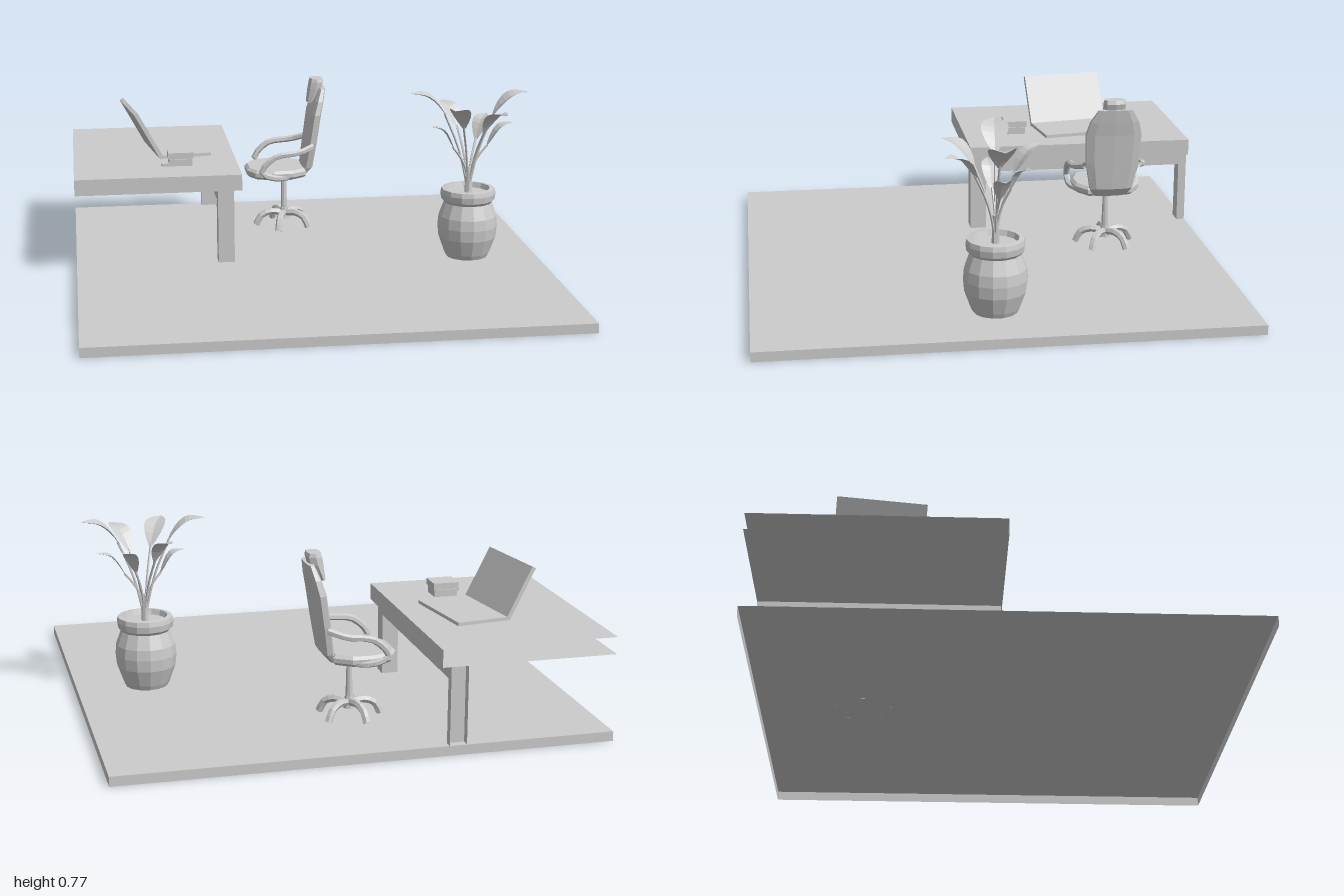
import * as THREE from 'three';

const mat = new THREE.MeshStandardMaterial({ color: 0xcccccc, flatShading: true, side: THREE.DoubleSide });
const V = (x, y, z) => new THREE.Vector3(x, y, z);

function add(parent, name, geometry) {
  const mesh = new THREE.Mesh(geometry, mat);
  mesh.name = name;
  parent.add(mesh);
  return mesh;
}

function group(parent, name, x = 0, y = 0, z = 0) {
  const g = new THREE.Group();
  g.name = name;
  g.position.set(x, y, z);
  parent.add(g);
  return g;
}

// Box between two corners; sides listed in `open` are left out (0 +x, 1 -x, 2 +y, 3 -y, 4 +z, 5 -z)
function box(parent, name, [x0, x1], [y0, y1], [z0, z1], open = []) {
  const g = new THREE.BoxGeometry(x1 - x0, y1 - y0, z1 - z0);
  g.translate((x0 + x1) / 2, (y0 + y1) / 2, (z0 + z1) / 2);
  const index = Array.from(g.index.array);
  g.setIndex(index.filter((_, i) => !open.includes(Math.floor(i / 6))));
  return add(parent, name, g);
}

function tube(parent, name, points, radius, sides = 6, steps = 8) {
  return add(parent, name, new THREE.TubeGeometry(new THREE.CatmullRomCurve3(points), steps, radius, sides));
}

// Closed loft through rounded cross-sections: rows of [y, centre x, half depth, half width]
function loft(rows, n = 10) {
  const pos = [], idx = [];
  const soft = v => Math.sign(v) * Math.abs(v) ** 0.7;
  for (const [y, cx, d, w] of rows)
    for (let j = 0; j < n; j++) {
      const a = (j / n) * Math.PI * 2;
      pos.push(cx + d * soft(Math.cos(a)), y, w * soft(Math.sin(a)));
    }
  for (let i = 0; i < rows.length - 1; i++)
    for (let j = 0; j < n; j++) {
      const a = i * n + j, b = i * n + (j + 1) % n;
      idx.push(a, a + n, b, b, a + n, b + n);
    }
  const top = (rows.length - 1) * n;
  for (let j = 1; j < n - 1; j++) idx.push(0, j, j + 1, top, top + j + 1, top + j);
  const g = new THREE.BufferGeometry();
  g.setAttribute('position', new THREE.Float32BufferAttribute(pos, 3));
  g.setIndex(idx);
  g.computeVertexNormals();
  return g;
}

// Folded leaf along the outer part of a curve
function leafGeometry(curve, start, halfWidth, side) {
  const pos = [], idx = [], n = 8;
  for (let i = 0; i <= n; i++) {
    const t = i / n, p = curve.getPoint(start + (1 - start) * t);
    const w = halfWidth * Math.sin(Math.PI * (0.03 + 0.97 * t) ** 0.9);
    for (const s of [-1, 0, 1])
      pos.push(p.x + side.x * w * s, p.y + Math.abs(s) * w * 0.25, p.z + side.z * w * s);
  }
  for (let i = 0; i < n; i++)
    for (let k = 0; k < 2; k++) {
      const a = i * 3 + k;
      idx.push(a, a + 1, a + 3, a + 1, a + 4, a + 3);
    }
  const g = new THREE.BufferGeometry();
  g.setAttribute('position', new THREE.Float32BufferAttribute(pos, 3));
  g.setIndex(idx);
  g.computeVertexNormals();
  return g;
}

function buildDesk(root) {
  const desk = group(root, 'desk');
  // Slab is open where it meets the room's missing walls
  box(desk, 'deskTop', [-1, -0.285], [0.36, 0.43], [-1, 0], [1, 5]);
  box(desk, 'frontLeg', [-0.39, -0.32], [0.04, 0.36], [-0.075, -0.005]);
  box(desk, 'backLeg', [-0.39, -0.32], [0.04, 0.36], [-1, -0.965], [5]);
  box(desk, 'legRail', [-0.39, -0.32], [0.305, 0.36], [-0.965, -0.075]);
}

function buildLaptop(root) {
  const laptop = group(root, 'laptop', -0.628, 0.43, -0.508);
  laptop.rotation.y = 0.148;
  box(laptop, 'laptopBase', [-0.01, 0.215], [0.002, 0.016], [-0.18, 0.18]);
  const screen = box(laptop, 'laptopScreen', [-0.018, 0], [0, 0.235], [-0.18, 0.18]);
  screen.position.y = 0.008;
  screen.rotation.z = 0.5;
}

function buildNotes(root) {
  const notes = group(root, 'noteBlock');
  box(notes, 'lowerPad', [-0.585, -0.485], [0.43, 0.46], [-0.28, -0.19]);
  box(notes, 'upperPad', [-0.59, -0.48], [0.463, 0.49], [-0.285, -0.185]);
  box(notes, 'pen', [-0.62, -0.58], [0.43, 0.442], [-0.207, -0.193]);
}

function buildChair(root) {
  const chair = group(root, 'officeChair', -0.035, 0, -0.565);
  // Five arched feet and the central column
  for (let i = 0; i < 5; i++) {
    const foot = group(chair, 'foot');
    foot.rotation.y = Math.PI + (i * Math.PI * 2) / 5;
    tube(foot, 'footArm', [V(0.01, 0.1, 0), V(0.06, 0.107, 0), V(0.105, 0.09, 0), V(0.13, 0.045, 0)], 0.016, 6, 6);
  }
  add(chair, 'hub', new THREE.CylinderGeometry(0.018, 0.024, 0.05, 8)).position.y = 0.1;
  add(chair, 'column', new THREE.CylinderGeometry(0.011, 0.015, 0.18, 8)).position.y = 0.2;
  add(chair, 'seatPlate', new THREE.CylinderGeometry(0.06, 0.025, 0.02, 8)).position.y = 0.283;

  // Rounded seat cushion
  const outline = [[-0.165, 0.05], [-0.135, 0.105], [-0.06, 0.135], [0.02, 0.13], [0.08, 0.09]];
  const ring = [...outline, ...outline.map(([x, z]) => [x, -z]).reverse()];
  const seat = new THREE.ExtrudeGeometry(new THREE.Shape(ring.map(p => new THREE.Vector2(...p))),
    { depth: 0.018, bevelThickness: 0.012, bevelSize: 0.012, bevelSegments: 1 });
  seat.rotateX(-Math.PI / 2);
  add(chair, 'seat', seat).position.y = 0.301;

  // Reclined backrest and headrest
  add(chair, 'backrest', loft([
    [0.29, 0.07, 0.025, 0.075], [0.33, 0.103, 0.026, 0.095], [0.45, 0.121, 0.026, 0.118],
    [0.58, 0.14, 0.026, 0.124], [0.64, 0.156, 0.022, 0.108], [0.695, 0.172, 0.015, 0.075],
  ]));
  add(chair, 'headrest', loft([
    [0.625, 0.118, 0.012, 0.045], [0.69, 0.143, 0.032, 0.049], [0.72, 0.15, 0.034, 0.049], [0.735, 0.15, 0.028, 0.045],
  ], 8));

  // Armrests sweep from under the seat up to the backrest
  for (const s of [-1, 1])
    tube(chair, 'armrest', [
      V(0.02, 0.3, s * 0.12), V(-0.06, 0.302, s * 0.15), V(-0.12, 0.33, s * 0.152), V(-0.06, 0.4, s * 0.156),
      V(0.05, 0.418, s * 0.15), V(0.12, 0.44, s * 0.12),
    ], 0.014, 6, 14);
}

function buildPlant(root) {
  const plant = group(root, 'pottedPlant', 0.7, 0, 0.03);
  const profile = [[0, 0.04], [0.09, 0.04], [0.1, 0.06], [0.125, 0.13], [0.13, 0.18], [0.126, 0.225], [0.104, 0.285],
    [0.116, 0.298], [0.12, 0.325], [0.116, 0.345], [0.095, 0.348], [0.088, 0.325], [0, 0.325]];
  add(plant, 'pot', new THREE.LatheGeometry(profile.map(p => new THREE.Vector2(...p)), 14));
  add(plant, 'trunk', new THREE.CylinderGeometry(0.012, 0.016, 0.12, 6)).position.y = 0.38;
  // Leaves: tip x, tip y, tip z, half width
  const leaves = [
    [-0.26, 0.765, -0.03, 0.055], [0.26, 0.765, 0, 0.055], [-0.09, 0.7, -0.2, 0.04], [0.105, 0.65, -0.125, 0.036],
    [-0.11, 0.73, 0.2, 0.045], [0.115, 0.71, 0.215, 0.045], [-0.175, 0.625, 0.01, 0.034], [0.2, 0.63, -0.01, 0.034],
  ];
  for (const [x, y, z, w] of leaves) {
    const at = (f, h) => V(x * f, h, z * f);
    const path = new THREE.CatmullRomCurve3([at(0.02, 0.34), at(0.1, 0.45), at(0.38, y - 0.105), at(0.68, y - 0.02), at(1, y)]);
    const side = V(-z, 0, x).normalize();
    const branch = group(plant, 'leafBranch');
    add(branch, 'leaf', leafGeometry(path, 0.5, w, side));
    tube(branch, 'stem', [0, 0.18, 0.35, 0.53].map(t => path.getPoint(t)), 0.005, 5, 6);
  }
}

export function createModel() {
  const root = new THREE.Group();
  root.name = 'officeCorner';
  // Floor slab, open underneath and on one side
  box(root, 'floor', [-1, 1], [0, 0.04], [-1, 1], [1, 3]);
  buildDesk(root);
  buildLaptop(root);
  buildNotes(root);
  buildChair(root);
  buildPlant(root);
  return root;
}
